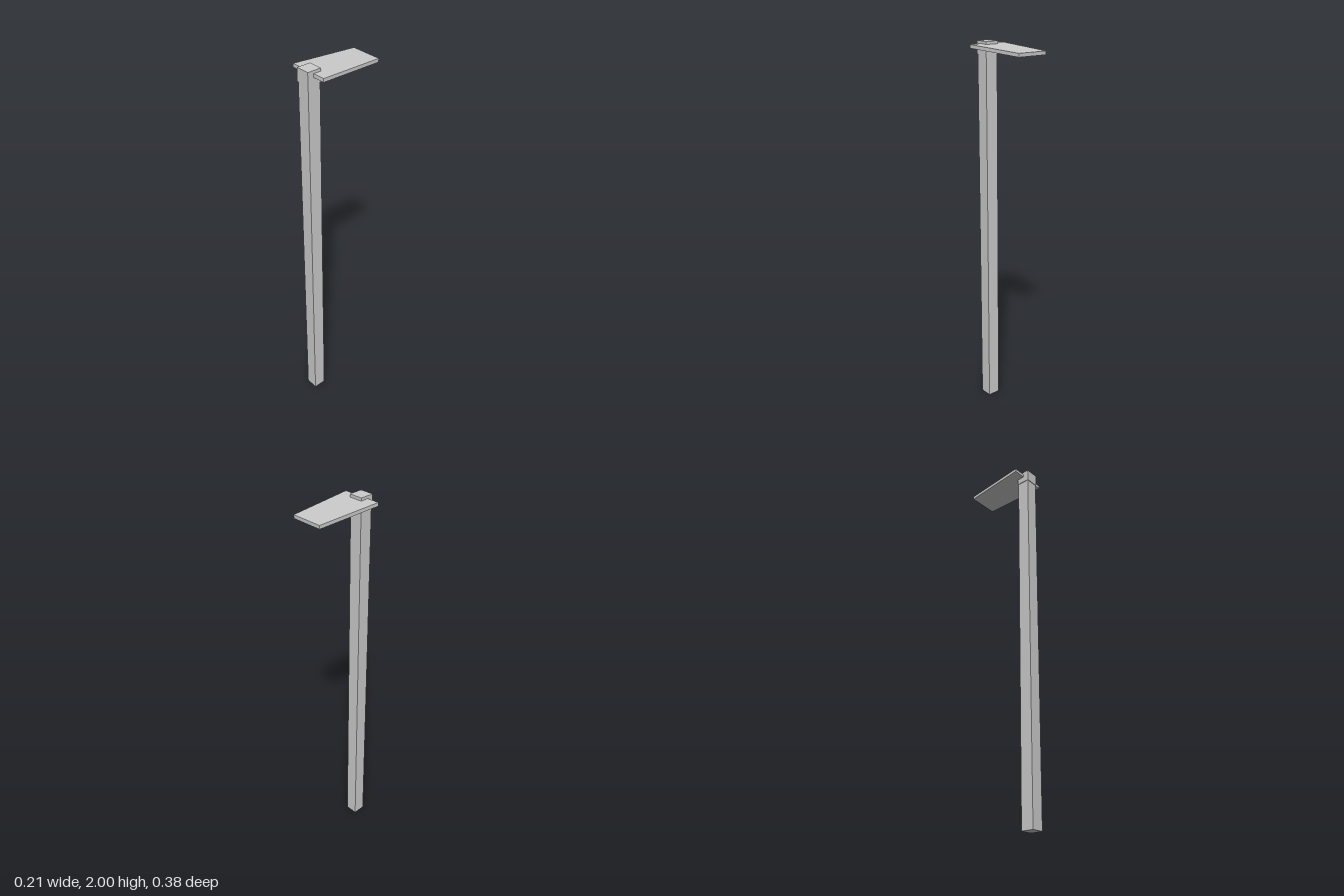
import * as THREE from 'three';

const material = new THREE.MeshStandardMaterial({ color: 0xcccccc, flatShading: true });

function addPart(group, name, geometry, x, y, z) {
  const mesh = new THREE.Mesh(geometry, material);
  mesh.name = name;
  mesh.position.set(x, y, z);
  group.add(mesh);
  return mesh;
}

export function createModel() {
  const group = new THREE.Group();
  group.name = 'streetLamp';
  const postZ = 0.151;

  // Square post with a slightly wider cap
  addPart(group, 'post', new THREE.BoxGeometry(0.068, 1.94, 0.068), 0, 0.97, postZ);
  addPart(group, 'postCap', new THREE.BoxGeometry(0.074, 0.065, 0.074), 0, 1.9675, postZ);

  // Thin tapered lamp panel reaching backwards and dipping at the far end
  const panel = new THREE.BoxGeometry(0.208, 0.018, 0.345);
  const p = panel.attributes.position;
  for (let i = 0; i < p.count; i++) {
    if (p.getZ(i) < 0) p.setX(i, p.getX(i) * 0.8);
  }
  panel.computeVertexNormals();
  const lamp = addPart(group, 'lampPanel', panel, 0, 1.9705, -0.0165);
  lamp.rotation.x = -0.042;

  return group;
}
